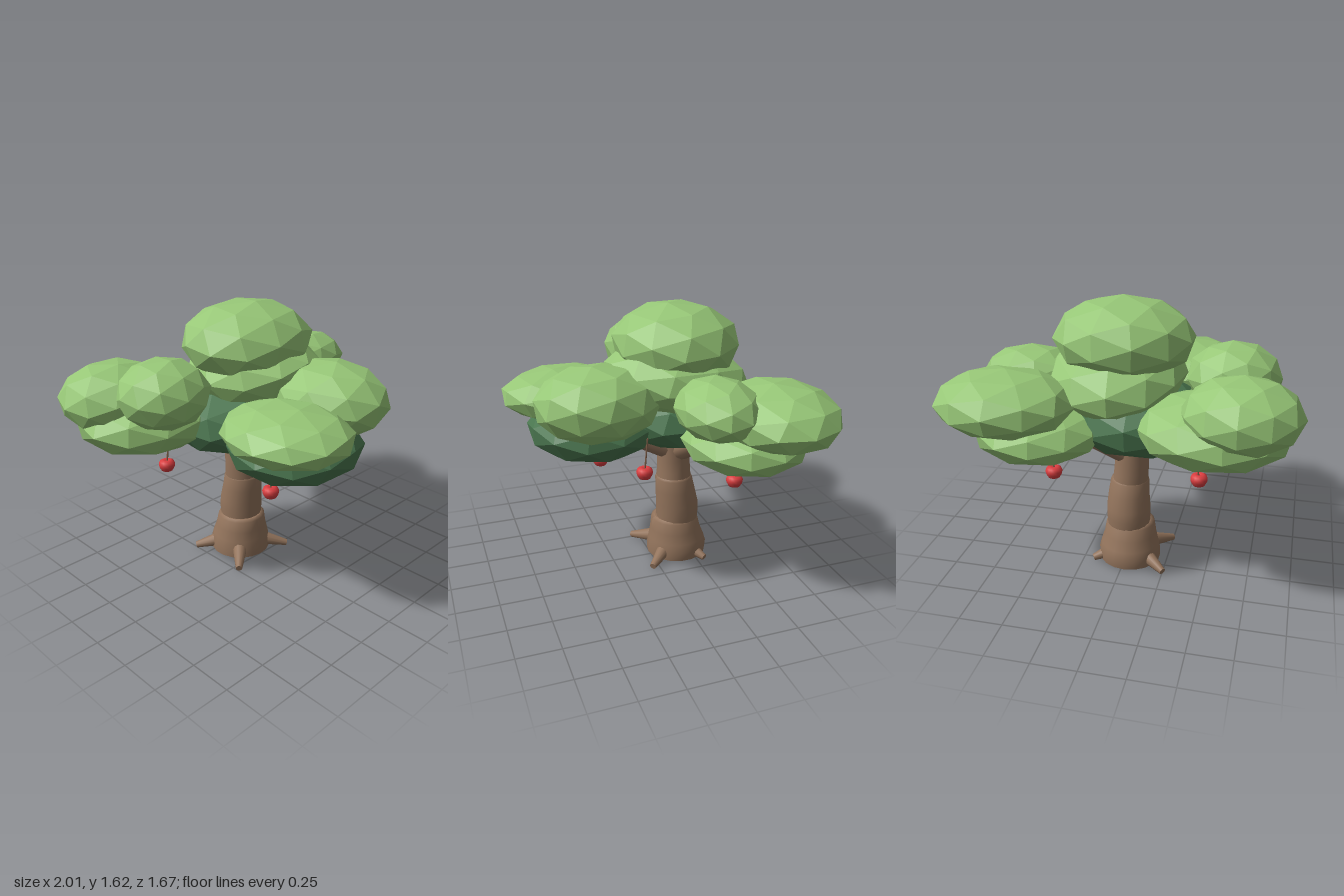
import * as THREE from 'three';

const mat = (name, color) => {
  const m = new THREE.MeshStandardMaterial({ color });
  m.name = name;
  return m;
};

export function createModel() {
  const tree = new THREE.Group();
  tree.name = 'tree';
  const leaf = mat('leafGreen', 0x97c777);
  const shade = mat('deepGreen', 0x4a764f);
  const bark = mat('barkBrown', 0x93745c);
  const stemBrown = mat('stemBrown', 0x7c5c46);
  const red = mat('appleRed', 0xdc3e40);

  const add = (name, geometry, material) => {
    const mesh = new THREE.Mesh(geometry, material);
    mesh.name = name;
    tree.add(mesh);
    return mesh;
  };

  // Faceted foliage: icosahedra, tilted and turned, then squashed and leaned forward
  const blob = (name, material, [x, y, z], [rx, ry, rz], turn, tilt, lean = 0) => {
    const g = new THREE.IcosahedronGeometry(1, 1);
    g.rotateX(tilt).rotateY(turn).scale(rx, ry, rz).rotateX(lean).translate(x, y, z);
    g.computeVertexNormals(); // unindexed, so each face stays flat
    add(name, g, material);
  };
  blob('crown', leaf, [0.02, 1.4, -0.14], [0.405, 0.23, 0.37], 0.3, 0.15);
  blob('upperFoliage', leaf, [0.06, 1.2, -0.14], [0.4, 0.21, 0.44], 0.1, 0.3, -0.17);
  blob('frontRightFoliage', leaf, [-0.27, 1.07, 0.45], [0.335, 0.15, 0.39], 0.2, 0.2);
  blob('frontLeftFoliage', leaf, [0.17, 1.13, 0.37], [0.31, 0.215, 0.365], 0.5, 0.1);
  blob('rightBackFoliage', leaf, [-0.68, 1.14, -0.5], [0.325, 0.2, 0.295], 0, 0.2);
  blob('rightUpperFoliage', leaf, [-0.6, 1.22, -0.15], [0.265, 0.195, 0.255], 0.4, 0.2);
  blob('rightLowerFoliage', leaf, [-0.53, 1.005, -0.4], [0.43, 0.195, 0.37], 0.2, 0.365);
  blob('leftBackFoliage', leaf, [0.6, 1.105, -0.51], [0.4, 0.18, 0.335], 0, 0.1);
  blob('leftUpperFoliage', leaf, [0.55, 1.16, -0.18], [0.3, 0.165, 0.23], 0.3, 0.3);
  blob('leftLowerFoliage', leaf, [0.45, 0.92, -0.4], [0.375, 0.172, 0.36], 0.15, 0.365);
  blob('shadedFrontFoliage', shade, [-0.08, 0.91, 0.34], [0.4, 0.19, 0.385], 0.2, 0.3);
  blob('shadedCentreFoliage', shade, [-0.07, 0.96, -0.17], [0.43, 0.22, 0.39], 0, 0.2);

  // Trunk sleeves: rings given as [x, y, z, radius]
  const sleeve = (name, rings) => {
    const g = new THREE.CylinderGeometry(1, 1, 1, 18, rings.length - 1);
    const p = g.attributes.position;
    for (let i = 0; i < p.count; i++) {
      const k = Math.round((0.5 - p.getY(i)) * (rings.length - 1));
      const [x, y, z, r] = rings[rings.length - 1 - k];
      p.setXYZ(i, x + p.getX(i) * r, y, z + p.getZ(i) * r);
    }
    g.computeVertexNormals();
    add(name, g, bark);
  };
  sleeve('trunkBase', [[-0.02, 0.015, -0.175, 0.185], [-0.018, 0.07, -0.178, 0.187],
    [-0.018, 0.12, -0.175, 0.175], [-0.02, 0.18, -0.168, 0.158],
    [-0.02, 0.25, -0.163, 0.146], [-0.02, 0.262, -0.163, 0.125]]);
  sleeve('trunkMiddle', [[-0.012, 0.22, -0.175, 0.128], [-0.012, 0.3, -0.178, 0.132],
    [-0.01, 0.36, -0.175, 0.131], [-0.01, 0.45, -0.163, 0.122],
    [-0.014, 0.53, -0.153, 0.114], [-0.014, 0.542, -0.153, 0.1]]);
  sleeve('trunkTop', [[-0.015, 0.5, -0.155, 0.108], [-0.022, 0.58, -0.155, 0.103],
    [-0.026, 0.66, -0.155, 0.1], [-0.026, 0.9, -0.15, 0.09]]);

  // Tapered limbs between two points
  const limb = (name, from, to, r0, r1, material = bark, sides = 12) => {
    const a = new THREE.Vector3(...from), b = new THREE.Vector3(...to);
    const d = b.clone().sub(a);
    const m = add(name, new THREE.CylinderGeometry(r1, r0, d.length(), sides), material);
    m.position.copy(a).add(b).multiplyScalar(0.5);
    m.quaternion.setFromUnitVectors(new THREE.Vector3(0, 1, 0), d.normalize());
  };
  limb('frontBranch', [-0.02, 0.71, -0.14], [-0.02, 0.84, 0.15], 0.07, 0.05);
  limb('leftBranch', [0, 0.71, -0.17], [0.35, 0.94, -0.34], 0.075, 0.055);
  limb('rightBranch', [-0.03, 0.74, -0.16], [-0.24, 0.9, -0.27], 0.065, 0.05);

  // Four roots flaring from the base, by tip [x, z]
  for (const [x, z] of [[0.18, 0.05], [-0.25, 0.05], [0.185, -0.29], [-0.255, -0.345]]) {
    const start = [-0.03 + (x + 0.03) * 0.45, 0.066, -0.165 + (z + 0.165) * 0.45];
    limb('root', start, [x, 0.027, z], 0.046, 0.02);
  }

  // Apples hanging on thin stems: [apple centre, stem top]
  const profile = [[0, -0.03], [0.018, -0.038], [0.034, -0.03], [0.046, -0.008],
    [0.049, 0.01], [0.042, 0.027], [0.026, 0.036], [0.01, 0.033], [0, 0.026]]
    .map(([x, y]) => new THREE.Vector2(x, y));
  const appleGeometry = new THREE.LatheGeometry(profile, 16);
  const apples = [
    [[-0.195, 0.622, 0.265], [-0.178, 0.8, 0.25]],
    [[0.225, 0.692, 0.117], [0.215, 0.9, 0.095]],
    [[-0.453, 0.67, -0.352], [-0.428, 0.88, -0.35]],
    [[0.385, 0.638, -0.378], [0.382, 0.83, -0.375]],
  ];
  for (const [centre, top] of apples) {
    add('apple', appleGeometry, red).position.set(...centre);
    limb('appleStem', centre, top, 0.005, 0.005, stemBrown, 6);
  }
  return tree;
}
